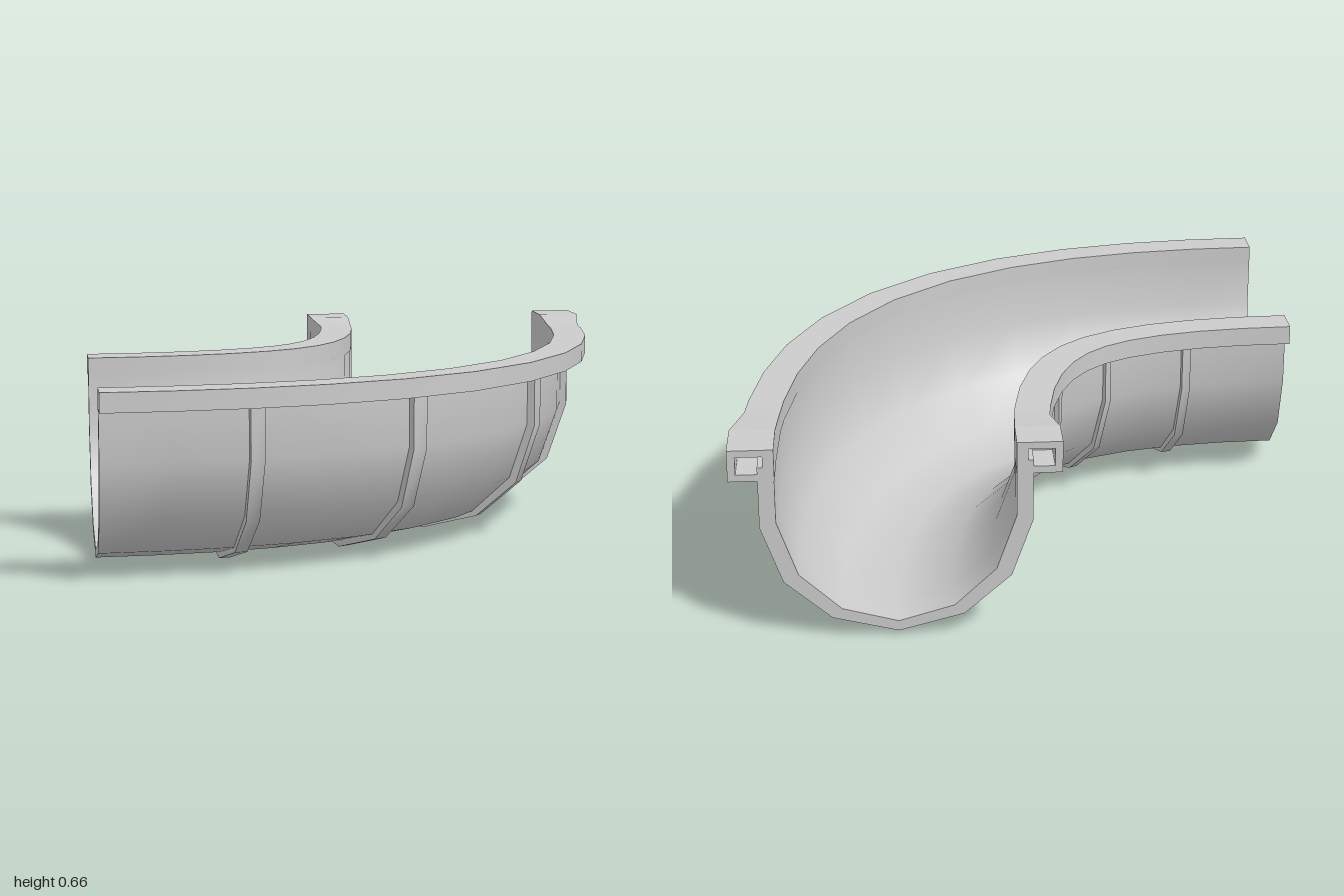
import * as THREE from 'three';
import { toCreasedNormals } from 'three/addons/utils/BufferGeometryUtils.js';

const material = new THREE.MeshStandardMaterial({ color: 0xcccccc });

// Centre line of the bend: starts along +x, ends along -z
const path = new THREE.CubicBezierCurve3(
  new THREE.Vector3(-0.98, 0, 0.5), new THREE.Vector3(0.01, 0, 0.5),
  new THREE.Vector3(0.445, 0, 0.09), new THREE.Vector3(0.445, 0, -1));

const FLARE_START = 0.87, FLARE_END = 0.94;
const flare = (u) => THREE.MathUtils.clamp((u - FLARE_START) / (FLARE_END - FLARE_START), 0, 1);

// Sweeps [offset, height] loops along the path; loops after the first are holes.
// Loops run anticlockwise, holes clockwise.
function sweep(name, section, stations) {
  const pos = [];
  const rings = stations.map((u) => {
    const p = path.getPointAt(u), t = path.getTangentAt(u);
    return section(u).map((loop) => loop.map(([o, y]) => [p.x - t.z * o, y, p.z + t.x * o]));
  });
  for (let i = 0; i < rings.length - 1; i++) {
    rings[i].forEach((loop, l) => loop.forEach((a, j) => {
      const k = (j + 1) % loop.length, next = rings[i + 1][l];
      pos.push(...a, ...next[j], ...next[k], ...a, ...next[k], ...loop[k]);
    }));
  }
  // End caps
  [0, rings.length - 1].forEach((r) => {
    const flat = section(stations[r]).map((loop) => loop.map(([o, y]) => new THREE.Vector2(o, y)));
    const points = rings[r].flat();
    THREE.ShapeUtils.triangulateShape(flat[0], flat.slice(1)).forEach(([a, b, c]) => {
      pos.push(...points[a], ...(r ? points[c] : points[b]), ...(r ? points[b] : points[c]));
    });
  });
  const geometry = new THREE.BufferGeometry();
  geometry.setAttribute('position', new THREE.Float32BufferAttribute(pos, 3));
  const mesh = new THREE.Mesh(toCreasedNormals(geometry, 0.65), material);
  mesh.name = name;
  return mesh;
}

// Half profiles from the rim down to the middle of the floor
const inside = [[0.38, 0.6], [0.38, 0.41], [0.315, 0.225], [0.18, 0.1], [0, 0.05]];
const outside = [[0.408, 0.6], [0.408, 0.4], [0.343, 0.207], [0.2, 0.075], [0, 0.021]];
const ribEdge = [[0.428, 0.6], [0.428, 0.395], [0.36, 0.19], [0.21, 0.06], [0, 0]];

const mirrored = (half) => [
  ...half.map(([o, y]) => [-o, y]), ...half.slice(0, -1).reverse()];
const uShape = (outer, inner) => [...mirrored(outer), ...mirrored(inner).reverse()];

const box = (o0, o1, y0, y1) => [[o0, y0], [o1, y0], [o1, y1], [o0, y1]];

export function createModel() {
  const group = new THREE.Group();
  group.name = 'curvedChannel';
  const bend = Array.from({ length: 11 }, (_, i) => i / 12);

  // Trough wall, a little thicker outside at the socket end
  const wall = (u) => {
    const f = flare(u);
    const outer = outside.map(([o, y]) => [o * (1 + 0.06 * f), y - (y < 0.5 ? 0.006 * f : 0)]);
    return [uShape(outer, inside)];
  };
  group.add(sweep('trough', wall, [...bend, FLARE_START, FLARE_END, 1]));

  // Rims, solid along the bend and hollow in the flared socket
  for (const side of [1, -1]) {
    const place = (loop) => (side > 0 ? loop : loop.map(([o, y]) => [-o, y]).reverse());
    const outer = (u) => {
      const f = flare(u);
      return place(box(0.379, 0.495 + 0.03 * f, 0.575 - 0.02 * f, 0.64 + 0.02 * f));
    };
    const hole = place(box(0.415, 0.5, 0.578, 0.637)).reverse();
    const label = side > 0 ? 'outer' : 'inner';
    group.add(sweep(label + 'Rim', (u) => [outer(u)], [...bend, FLARE_START, FLARE_END]));
    group.add(sweep(label + 'Socket', (u) => [outer(u), hole], [FLARE_END, 1]));
  }

  // Reinforcing ribs around the outside of the trough
  [0.18, 0.365, 0.555, 0.73].forEach((u, i) => {
    const ring = () => [uShape(ribEdge, outside.map(([o, y]) => [o * 0.97, y + 0.012]))];
    group.add(sweep('rib' + (i + 1), ring, [u - 0.008, u + 0.008]));
  });

  return group;
}
